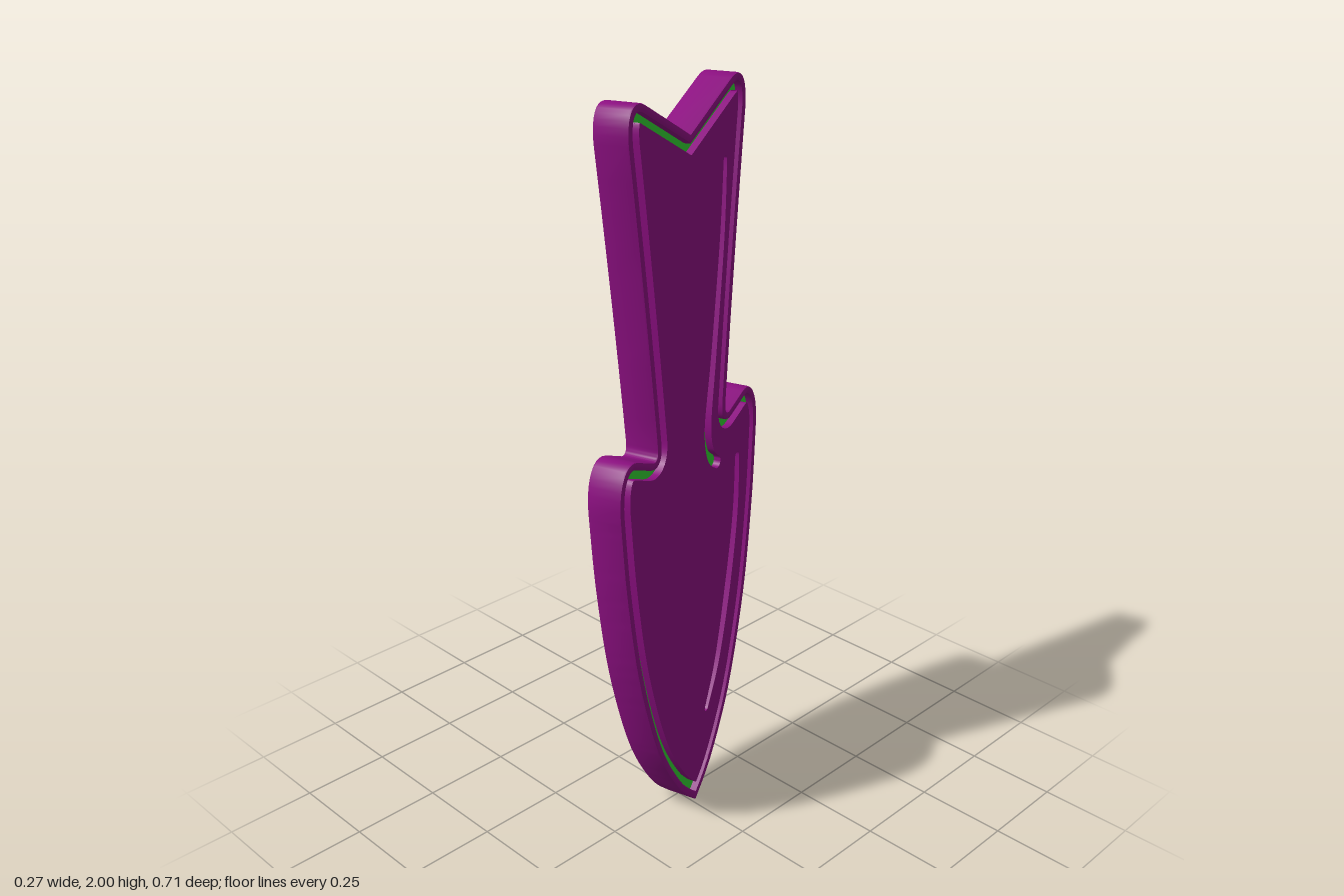
import * as THREE from 'three';
import { toCreasedNormals } from 'three/addons/utils/BufferGeometryUtils.js';

const THICKNESS = 0.095;
const V = (x, y) => new THREE.Vector2(x, y);

// Half outline from the tip up to the notch, mirrored into a closed loop
function outlinePoints() {
  const p = new THREE.Path();
  p.moveTo(0, 0.003);
  p.splineThru([V(0.095, 0.1), V(0.2, 0.28), V(0.286, 0.545), V(0.333, 0.81), V(0.354, 1.03)]);
  p.bezierCurveTo(0.362, 1.13, 0.32, 1.178, 0.27, 1.157); // wing corner
  p.lineTo(0.2, 1.128);
  p.quadraticCurveTo(0.172, 1.118, 0.176, 1.16); // neck
  p.quadraticCurveTo(0.215, 1.5, 0.277, 1.91);
  p.bezierCurveTo(0.285, 1.985, 0.25, 2.015, 0.2, 1.99); // top corner
  p.lineTo(0, 1.89);
  const half = p.getPoints(10);
  const other = half.slice(1, -1).reverse().map((q) => V(-q.x, q.y));
  return [...half, ...other].filter((q, i, a) => i === 0 || q.distanceTo(a[i - 1]) > 1e-4);
}

// Mitred inward offset of a counter-clockwise loop
function inset(points, d) {
  const n = points.length;
  const normal = (a, b) => V(a.y - b.y, b.x - a.x).normalize();
  return points
    .map((p, i) => {
      const n1 = normal(points[(i + n - 1) % n], p);
      const n2 = normal(p, points[(i + 1) % n]);
      const m = n1.clone().add(n2).normalize();
      return p.clone().addScaledVector(m, d / Math.max(0.4, m.dot(n1)));
    })
    .filter((q) => points.every((p) => p.distanceTo(q) > d * 0.97));
}

// Tapered slot with round ends; each station is [x, y, half width]
function slot(stations) {
  const curve = new THREE.SplineCurve(stations.map(([x, y]) => V(x, y)));
  const left = [], right = [], N = 28, last = stations.length - 1;
  const cap = (c, t, r, sign) => {
    const a0 = Math.atan2(t.y, t.x) + (sign > 0 ? Math.PI / 2 : -Math.PI / 2);
    return [1, 2, 3, 4, 5].map((k) => {
      const a = a0 - (k / 6) * Math.PI;
      return V(c.x + r * Math.cos(a), c.y + r * Math.sin(a));
    });
  };
  for (let i = 0; i <= N; i++) {
    const f = (i / N) * last, k = Math.min(last - 1, Math.floor(f));
    const w = THREE.MathUtils.lerp(stations[k][2], stations[k + 1][2], f - k);
    const c = curve.getPoint(i / N), t = curve.getTangent(i / N);
    left.push(V(c.x - t.y * w, c.y + t.x * w));
    right.unshift(V(c.x + t.y * w, c.y - t.x * w));
  }
  const end = cap(curve.getPoint(1), curve.getTangent(1), stations[last][2], 1);
  const start = cap(curve.getPoint(0), curve.getTangent(0), stations[0][2], -1);
  return [...left, ...end, ...right, ...start];
}

// Flat plate centred on z = 0, with optional holes and a small edge bevel
function plate(name, points, holes, depth, bevel, material) {
  const shape = new THREE.Shape(points);
  shape.holes = holes.map((h) => new THREE.Path(h));
  const geo = new THREE.ExtrudeGeometry(shape, {
    depth: depth - 2 * bevel,
    bevelEnabled: bevel > 0,
    bevelSize: bevel,
    bevelThickness: bevel,
    bevelOffset: -bevel,
    bevelSegments: 2,
  });
  geo.translate(0, 0, bevel - depth / 2);
  const mesh = new THREE.Mesh(toCreasedNormals(geo, 0.6), material);
  mesh.name = name;
  return mesh;
}

export function createModel() {
  const purple = new THREE.MeshStandardMaterial({ color: 0x8b0f80 });
  const green = new THREE.MeshStandardMaterial({ color: 0x32cd32 });

  const outline = outlinePoints();
  const grooveOuter = inset(outline, 0.02);
  const grooveInner = inset(outline, 0.044);

  // Decorative slots along one side of the panel
  const upperSlot = slot([
    [-0.169, 1.8, 0.009], [-0.152, 1.6, 0.012], [-0.108, 1.31, 0.014],
    [-0.077, 1.127, 0.018], [-0.091, 1.04, 0.019], [-0.128, 1.005, 0.017],
  ]);
  const lowerSlot = slot([
    [-0.24, 0.98, 0.012], [-0.229, 0.81, 0.015], [-0.185, 0.6, 0.017],
    [-0.125, 0.4, 0.014], [-0.062, 0.275, 0.009],
  ]);

  // Raised purple rim and panel around a thinner green core
  const blade = new THREE.Group();
  blade.name = 'arrowPlate';
  blade.add(
    plate('rim', outline, [grooveOuter], THICKNESS, 0.005, purple),
    plate('panel', grooveInner, [upperSlot, lowerSlot], THICKNESS, 0, purple),
    plate('grooveFloor', inset(outline, 0.013), [], THICKNESS - 0.04, 0, green),
  );

  // Turned edge-on to the front with a slight lean
  blade.rotation.set(0.0125, THREE.MathUtils.degToRad(-75), 0, 'YXZ');
  blade.position.x = 0.0125;

  const model = new THREE.Group();
  model.name = 'arrow';
  model.add(blade);
  return model;
}
